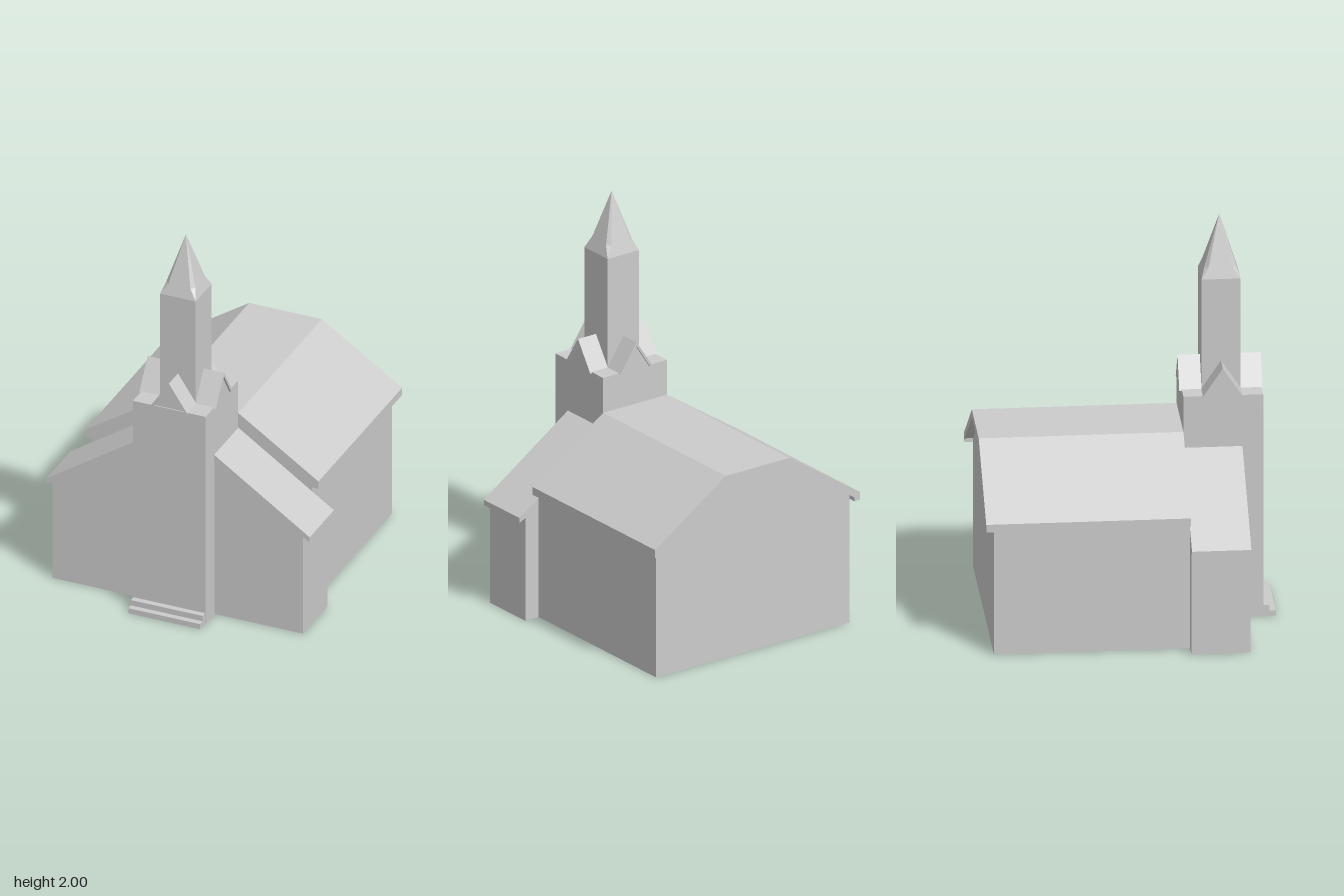
import * as THREE from 'three';

const material = new THREE.MeshStandardMaterial({ color: 0xcccccc, flatShading: true, side: THREE.DoubleSide });

function add(parent, name, geometry) {
  const mesh = new THREE.Mesh(geometry, material);
  mesh.name = name;
  parent.add(mesh);
  return mesh;
}

// Extrude an x-y outline between two z positions
function prism(points, z0, z1) {
  const shape = new THREE.Shape(points.map(([x, y]) => new THREE.Vector2(x, y)));
  return new THREE.ExtrudeGeometry(shape, { depth: z1 - z0, bevelEnabled: false }).translate(0, 0, z0);
}

function block(w, y0, y1, z0, z1) {
  return new THREE.BoxGeometry(w, y1 - y0, z1 - z0).translate(0, (y0 + y1) / 2, (z0 + z1) / 2);
}

// Complete a right-hand outline with its mirror image
const mirrored = (half) => [...half, ...half.map(([x, y]) => [-x, y]).reverse()];

// Spire whose four corners are chamfered and broach out to a square base
function spireGeometry(a, y0, h) {
  const t = 0.82, n = 0.62 * a, w = t * a, y = y0 + h * (1 - t);
  const apex = [0, y0 + h, 0], positions = [];
  for (let i = 0; i < 4; i++) {
    const c = Math.round(Math.cos(i * Math.PI / 2)), s = Math.round(Math.sin(i * Math.PI / 2));
    const turn = ([px, py, pz]) => [c * px + s * pz, py, -s * px + c * pz];
    const left = [-n, y, w], right = [n, y, w], side = [w, y, n];
    const c0 = [-a, y0, a], c1 = [a, y0, a];
    const faces = [
      [apex, left, right], [left, c0, c1], [left, c1, right], // main face
      [apex, right, side], [right, c1, side],                 // chamfer and broach
    ];
    faces.flat().forEach((p) => positions.push(...turn(p)));
  }
  const g = new THREE.BufferGeometry();
  g.setAttribute('position', new THREE.Float32BufferAttribute(positions, 3));
  g.computeVertexNormals();
  return g;
}

export function createModel() {
  const church = new THREE.Group();
  church.name = 'church';
  const towerZ = 0.46;

  // Main hall with a flat-topped roof
  add(church, 'hallWalls', prism(mirrored([[0.575, 0], [0.575, 0.66], [0.19, 0.92]]), -0.67, 0.27));
  add(church, 'hallRoof', prism(mirrored([
    [0.19, 0.917], [0.575, 0.66], [0.575, 0.64], [0.61, 0.64], [0.61, 0.68], [0.19, 0.96],
  ]), -0.71, 0.272));

  // Front wings either side of the tower
  for (const s of [1, -1]) {
    const wing = new THREE.Group();
    wing.name = s > 0 ? 'leftWing' : 'rightWing';
    const flip = (pts) => pts.map(([x, y]) => [s * x, y]);
    add(wing, 'wingWall', prism(flip([[0.15, 0], [0.655, 0], [0.655, 0.54], [0.15, 0.878]]), 0.27, 0.553));
    add(wing, 'wingRoof', prism(flip([
      [0.15, 0.876], [0.655, 0.533], [0.69, 0.512], [0.69, 0.54], [0.15, 0.905],
    ]), 0.27, 0.555));
    church.add(wing);
  }

  // Tower and entrance steps
  add(church, 'tower', block(0.38, 0, 1.14, 0.272, 0.655));
  add(church, 'lowerStep', block(0.375, 0, 0.028, 0.64, 0.715));
  add(church, 'upperStep', block(0.375, 0.028, 0.057, 0.64, 0.685));

  // Crossing gables: one runs front to back, the other side to side
  for (const angle of [0, Math.PI / 2]) {
    const gable = new THREE.Group();
    gable.name = angle ? 'sideGables' : 'frontGables';
    add(gable, 'gableWall', prism([[-0.09, 1.135], [0.09, 1.135], [0, 1.265]], -0.19, 0.19));
    add(gable, 'gableRoof', prism([
      [-0.098, 1.135], [-0.082, 1.135], [0, 1.262], [0.082, 1.135], [0.098, 1.135], [0, 1.282],
    ], -0.2, 0.2));
    gable.rotation.y = angle;
    gable.position.z = towerZ;
    church.add(gable);
  }

  // Belfry and spire
  add(church, 'belfry', block(0.186, 1.13, 1.7, towerZ - 0.093, towerZ + 0.093));
  add(church, 'spire', spireGeometry(0.093, 1.7, 0.3)).position.z = towerZ;

  return church;
}
